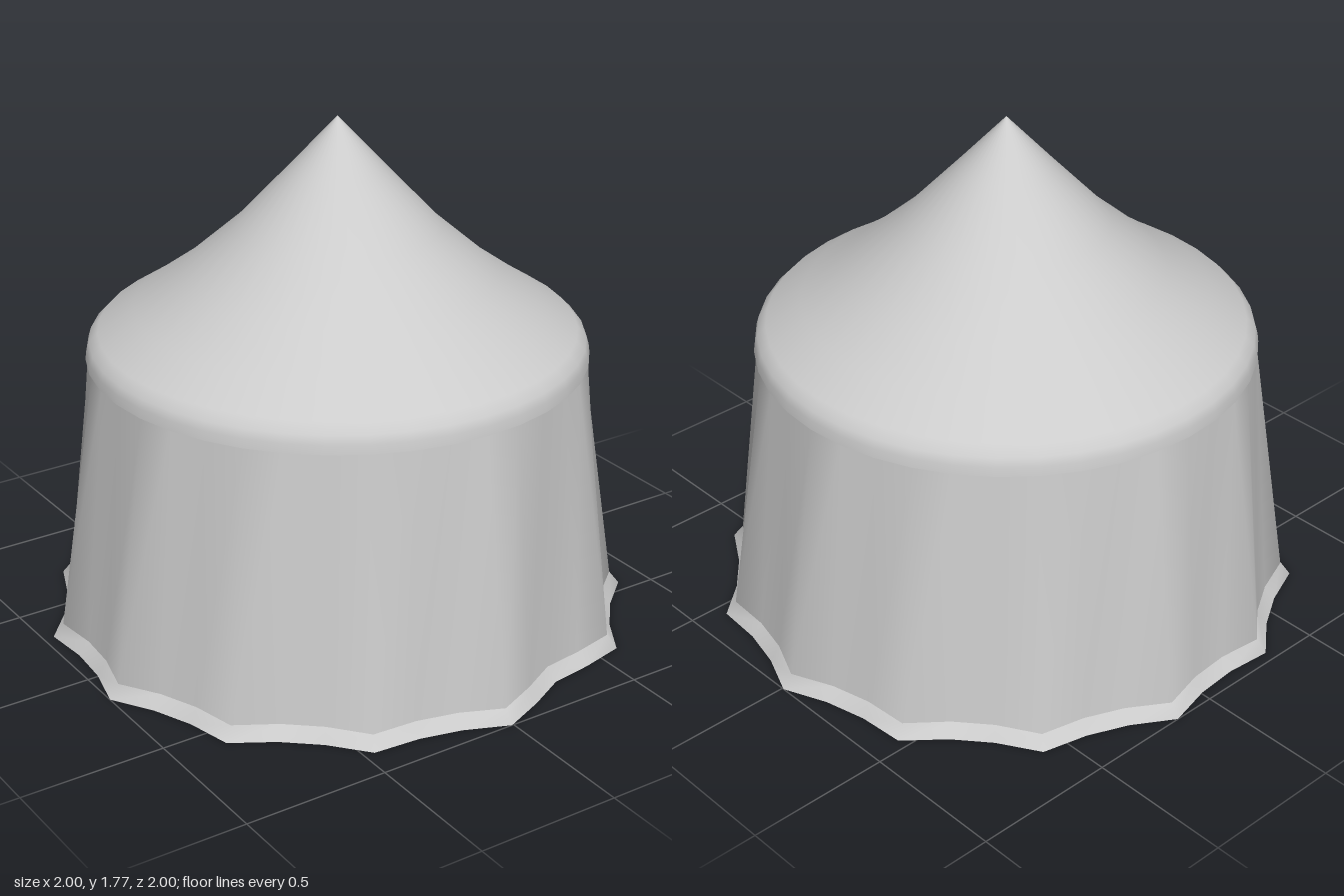
import * as THREE from 'three';

const SEGMENTS = 40;
const CENTRE = -0.006; // the uneven hem shifts the axis slightly off the origin

// Hem radius at each of the 40 steps: a peg point every third step,
// with one wider gap of four steps at the end of the round.
function hemRadius(step) {
  const k = (step + SEGMENTS - 34) % SEGMENTS;
  if (k === 38) return 0.918;
  return k % 3 === 0 && k < 39 ? 1.006 : 0.955;
}

// Skin a stack of closed rings, each given as { y, radius(step) }
function skinRings(rings) {
  const positions = [], index = [];
  for (const { y, radius } of rings) {
    for (let i = 0; i < SEGMENTS; i++) {
      const a = (i / SEGMENTS) * Math.PI * 2;
      positions.push(radius(i) * Math.cos(a), y, -radius(i) * Math.sin(a));
    }
  }
  for (let r = 0; r < rings.length - 1; r++) {
    for (let i = 0; i < SEGMENTS; i++) {
      const j = (i + 1) % SEGMENTS;
      const a = r * SEGMENTS + i, b = r * SEGMENTS + j;
      index.push(a, b, b + SEGMENTS, a, b + SEGMENTS, a + SEGMENTS);
    }
  }
  const geometry = new THREE.BufferGeometry();
  geometry.setAttribute('position', new THREE.Float32BufferAttribute(positions, 3));
  geometry.setIndex(index);
  geometry.computeVertexNormals();
  return geometry;
}

export function createModel() {
  const model = new THREE.Group();
  model.name = 'tent';
  const canvas = new THREE.MeshStandardMaterial({ color: 0xcccccc, side: THREE.DoubleSide });

  function add(name, geometry) {
    const mesh = new THREE.Mesh(geometry, canvas);
    mesh.name = name;
    mesh.position.set(CENTRE, 0, CENTRE);
    model.add(mesh);
  }

  // Wall: scalloped at the foot, round under the roof
  const wallFoot = (i) => hemRadius(i) - 0.035;
  add('wall', skinRings([
    { y: 0.045, radius: wallFoot },
    { y: 0.955, radius: () => 0.836 },
  ]));

  // Flared hem lying out on the ground
  add('hem', skinRings([
    { y: 0, radius: hemRadius },
    { y: 0.045, radius: wallFoot },
  ]));

  // Sagging conical roof with a rounded eave
  const roofProfile = [
    [0.843, 0.955], [0.839, 0.985], [0.83, 1.015], [0.8, 1.047],
    [0.68, 1.125], [0.53, 1.233], [0.345, 1.395], [0.16, 1.593], [0, 1.768],
  ].map(([r, y]) => new THREE.Vector2(r, y));
  add('roof', new THREE.LatheGeometry(roofProfile, SEGMENTS));

  // Narrow lip closing the gap between eave and wall
  add('eaveLip', skinRings([
    { y: 0.955, radius: () => 0.836 },
    { y: 0.955, radius: () => 0.843 },
  ].reverse()).scale(1, 1, 1));

  return model;
}
